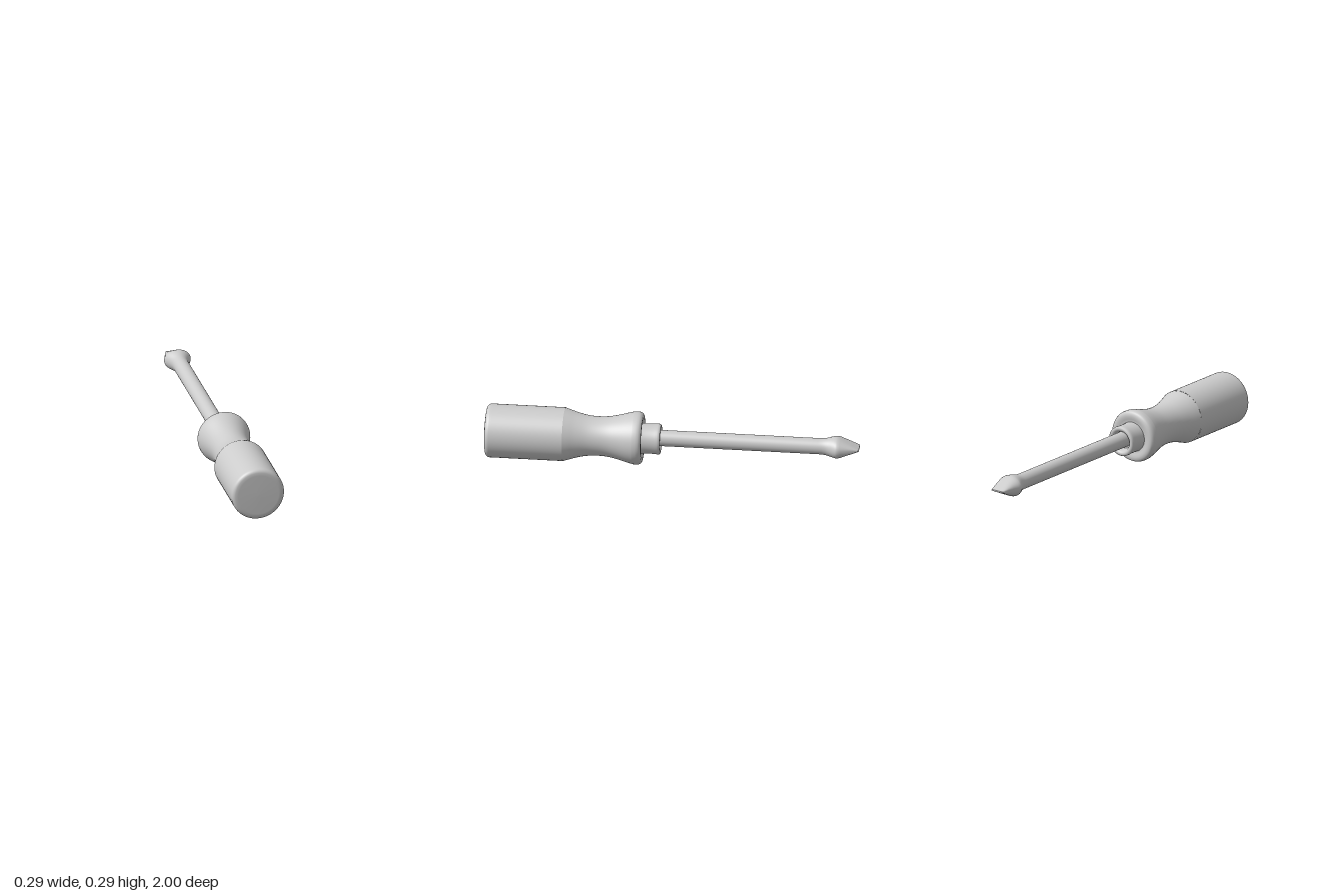
import * as THREE from 'three';

const material = new THREE.MeshStandardMaterial({ color: 0xcccccc, side: THREE.DoubleSide });

// Turned part along z; profile is [radius, z] with z rising
function turned(name, profile, y) {
  const geo = new THREE.LatheGeometry(profile.map(([r, z]) => new THREE.Vector2(r, z)), 64);
  geo.rotateX(Math.PI / 2);
  const mesh = new THREE.Mesh(geo, material);
  mesh.name = name;
  mesh.position.y = y;
  return mesh;
}

// Loft through superellipse sections [z, half width, half height, exponent], z falling
function loft(sections, sides = 48) {
  const pos = [], index = [];
  const ring = ([z, w, h, n]) => {
    for (let i = 0; i <= sides; i++) {
      const a = (i % sides) / sides * Math.PI * 2, c = Math.cos(a), s = Math.sin(a);
      pos.push(w * Math.sign(c) * Math.abs(c) ** (2 / n), h * Math.sign(s) * Math.abs(s) ** (2 / n), z);
    }
  };
  sections.forEach(ring);
  const row = sides + 1;
  for (let j = 0; j < sections.length - 1; j++) {
    for (let i = 0; i < sides; i++) {
      const a = j * row + i, b = a + row;
      index.push(a, b, a + 1, b, b + 1, a + 1);
    }
  }
  // End cap with its own vertices for a sharp edge
  const last = sections[sections.length - 1], start = pos.length / 3;
  ring(last);
  pos.push(0, 0, last[0]);
  for (let i = 0; i < sides; i++) index.push(start + i, start + row, start + i + 1);
  const geo = new THREE.BufferGeometry();
  geo.setAttribute('position', new THREE.Float32BufferAttribute(pos, 3));
  geo.setIndex(index);
  geo.computeVertexNormals();
  // Even out the normals where each ring closes
  const nor = geo.attributes.normal, v = new THREE.Vector3(), u = new THREE.Vector3();
  for (let j = 0; j < sections.length; j++) {
    const a = j * row, b = a + sides;
    v.fromBufferAttribute(nor, a).add(u.fromBufferAttribute(nor, b)).normalize();
    nor.setXYZ(a, v.x, v.y, v.z);
    nor.setXYZ(b, v.x, v.y, v.z);
  }
  return geo;
}

export function createModel() {
  const group = new THREE.Group();
  group.name = 'screwdriver';
  const axis = 0.146;

  // Waisted grip with a rounded shoulder
  const waist = new THREE.SplineCurve([
    [0.141, 0.205], [0.134, 0.235], [0.119, 0.29], [0.108, 0.345], [0.105, 0.40],
    [0.109, 0.455], [0.121, 0.51], [0.135, 0.555], [0.143, 0.58],
  ].map(([r, z]) => new THREE.Vector2(r, z))).getPoints(32).map((p) => [p.x, p.y]);
  group.add(turned('grip', [
    [0.06, 0.166], [0.085, 0.165], [0.098, 0.161], [0.112, 0.158], [0.126, 0.159],
    [0.135, 0.165], [0.14, 0.175], [0.142, 0.188], ...waist,
  ], axis));

  // Straight rear handle with a rounded rim
  const rim = [];
  for (let i = 0; i <= 8; i++) {
    const a = i / 8 * Math.PI / 2;
    rim.push([0.121 + 0.0225 * Math.cos(a), 0.973 + 0.024 * Math.sin(a)]);
  }
  group.add(turned('handle', [[0.1435, 0.58], [0.1435, 0.96], ...rim, [0.11, 0.999], [0, 1]], axis));

  // Collar with a bored mouth around the shaft
  group.add(turned('collar', [
    [0.046, 0.10], [0.05, 0.085], [0.054, 0.072], [0.06, 0.065], [0.068, 0.062], [0.076, 0.063],
    [0.081, 0.068], [0.082, 0.078], [0.081, 0.09], [0.08, 0.11], [0.08, 0.145], [0.082, 0.17],
  ], axis));
  group.add(turned('collarFloor', [[0.052, 0.1], [0.02, 0.101]], axis));

  // Round shaft flaring into a flattened wedge tip
  const blade = new THREE.Mesh(loft([
    [0.16, 0.043, 0.043, 2], [-0.4, 0.043, 0.043, 2], [-0.78, 0.043, 0.043, 2],
    [-0.80, 0.043, 0.0435, 2], [-0.82, 0.045, 0.046, 2], [-0.835, 0.05, 0.049, 2],
    [-0.85, 0.057, 0.053, 2], [-0.865, 0.065, 0.056, 2], [-0.877, 0.071, 0.057, 2],
    [-0.887, 0.0725, 0.056, 2.05], [-0.90, 0.069, 0.051, 2.15], [-0.93, 0.0595, 0.037, 2.5],
    [-0.96, 0.05, 0.023, 3], [-0.985, 0.042, 0.011, 4], [-1, 0.037, 0.004, 5],
  ]), material);
  blade.name = 'blade';
  blade.position.y = 0.153;
  group.add(blade);

  return group;
}
